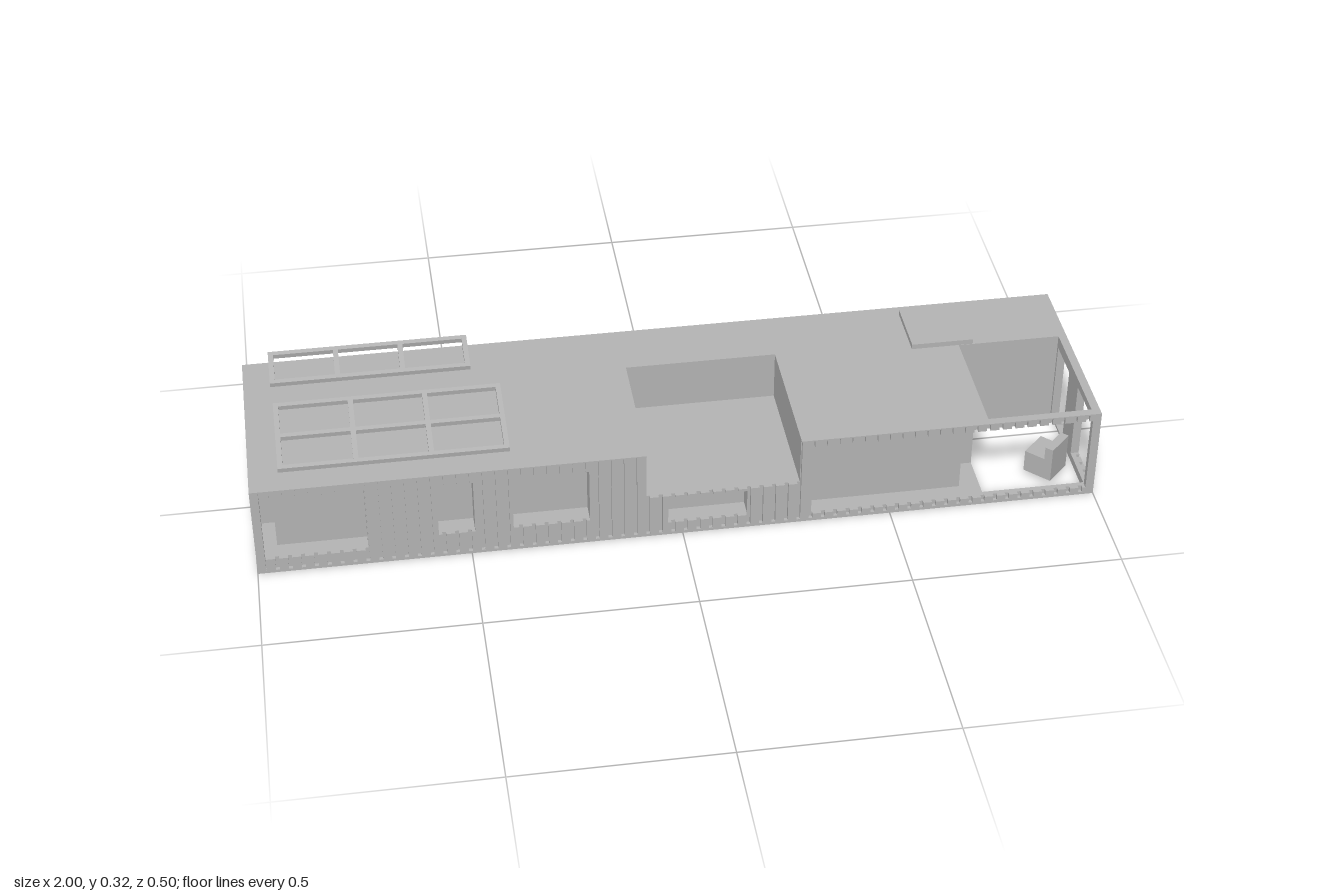
import * as THREE from 'three';
import { mergeGeometries } from 'three/addons/utils/BufferGeometryUtils.js';

const H = 0.24, SKIN = 0.02, INNER = 0.03, GROOVE = 0.009, PITCH = 0.03;

const grey = new THREE.MeshStandardMaterial({ color: 0xb4b4b4 });
grey.name = 'grey steel';

// Box from its minimum and maximum corners
function span(x0, x1, y0, y1, z0, z1) {
  const g = new THREE.BoxGeometry(x1 - x0, y1 - y0, z1 - z0);
  return g.translate((x0 + x1) / 2, (y0 + y1) / 2, (z0 + z1) / 2);
}

function add(parent, name, geometry) {
  const m = new THREE.Mesh(geometry, grey);
  m.name = name;
  parent.add(m);
  return m;
}

// Wall in its own plane: u runs along it, the outside is at depth 0 and faces +z.
// openings: [u0, u1, y0, y1]. Ribbed walls get rectangular vertical grooves.
function wall(u0, u1, thick, openings, ribbed, firstGroove = 0) {
  const cuts = [u0, u1];
  for (const o of openings) cuts.push(o[0], o[1]);
  const grooves = [];
  if (ribbed) {
    for (let u = firstGroove; u < u1 - 0.015; u += PITCH) {
      grooves.push(u);
      cuts.push(u - GROOVE / 2, u + GROOVE / 2);
    }
  }
  const us = cuts.filter(u => u >= u0 && u <= u1).sort((a, b) => a - b);
  const parts = [];
  for (let i = 0; i < us.length - 1; i++) {
    const a = us[i], b = us[i + 1], mid = (a + b) / 2;
    if (b - a < 1e-5) continue;
    const inGroove = grooves.some(g => Math.abs(g - mid) < GROOVE / 2);
    const holes = openings.filter(o => mid > o[0] && mid < o[1]).sort((p, q) => p[2] - q[2]);
    // Solid heights between the openings
    let y = 0;
    for (const [, , lo, hi] of [...holes, [0, 0, H, H]]) {
      if (lo - y > 1e-5) {
        parts.push(span(a, b, y, lo, -thick, inGroove ? -0.009 : 0));
        if (inGroove && y === 0) parts.push(span(a, b, 0, 0.007, -0.009, 0));
        if (inGroove && lo === H) parts.push(span(a, b, H - 0.003, H, -0.009, 0));
      }
      y = hi;
    }
  }
  return mergeGeometries(parts);
}

// Open rectangular frame with a grid of cells, lying flat
function panelFrame(w, d, cols, rows) {
  const rect = (P, x0, y0, x1, y1) => {
    const p = new P();
    p.moveTo(x0, y0);
    p.lineTo(x1, y0);
    p.lineTo(x1, y1);
    p.lineTo(x0, y1);
    p.closePath();
    return p;
  };
  const s = rect(THREE.Shape, -w / 2, -d / 2, w / 2, d / 2);
  const bar = 0.012, cw = (w - bar) / cols, cd = (d - bar) / rows;
  for (let i = 0; i < cols; i++) for (let j = 0; j < rows; j++) {
    const x = -w / 2 + bar + i * cw, y = -d / 2 + bar + j * cd;
    s.holes.push(rect(THREE.Path, x, y, x + cw - bar, y + cd - bar));
  }
  const g = new THREE.ExtrudeGeometry(s, { depth: 0.012, bevelEnabled: false });
  return g.translate(0, 0, -0.006).rotateX(-Math.PI / 2);
}

export function createModel() {
  const model = new THREE.Group();
  model.name = 'containerHouse';

  // Solid core, leaving the roof deck, the entrance notch and the porch free
  add(model, 'core', mergeGeometries([
    span(-0.95, -0.085, 0, H, -0.2, 0.2),
    span(-0.085, 0.28, 0, 0.115, -0.2, 0.2),
    span(-0.085, 0.28, 0.115, H, -0.2, -0.1),
    span(0.28, 0.68, 0, H, -0.2, 0.2),
    span(0.68, 0.73, 0, H, -0.2, 0.115),
    span(0.68, 0.73, 0, 0.02, 0.115, 0.2),
    span(0.68, 0.73, 0.22, H, 0.115, 0.2),
    span(0.73, 0.98, 0, H, -0.2, -0.07),
  ]));

  // Front wall
  const front = [
    [-0.575, -0.49, 0.065, 0.21],
    [-0.4, -0.22, 0.065, 0.21],
    [-0.035, 0.155, 0.035, 0.108],
    [-0.085, 0.28, 0.115, H],
  ];
  const frontSkin = [...front, [-0.98, -0.74, 0.04, 0.215], [0.31, 0.985, 0.02, 0.22]];
  const frontInner = [...front, [-1, -0.74, 0.04, 0.215], [0.31, 0.75, 0.02, 0.22]];
  add(model, 'frontWall', wall(-1, 1, SKIN, frontSkin, true, -0.9825)).position.z = 0.25;
  add(model, 'frontReveals', wall(-0.98, 0.73, INNER, frontInner, false)).position.z = 0.23;

  // Back wall: u runs towards -x
  const back = [
    [0.605, 0.685, 0.095, 0.185],
    [0.065, 0.17, 0.08, 0.185],
    [-0.115, -0.015, 0.02, 0.2],
    [-0.285, -0.155, 0.115, 0.185],
    [-0.55, -0.435, 0.065, 0.185],
    [-0.8, -0.7, 0.055, 0.185],
  ].map(([a, b, lo, hi]) => [-b, -a, lo, hi]);
  for (const [name, w, t, z] of [['backWall', 1, SKIN, -0.25], ['backReveals', 0.98, INNER, -0.23]]) {
    const m = add(model, name, wall(-w, w, t, back, t === SKIN, -0.9825));
    m.rotation.y = Math.PI;
    m.position.z = z;
  }

  // Left-hand end (+x): u runs towards -z
  const porchEnd = add(model, 'porchEndWall', wall(-0.25, 0.25, SKIN, [
    [-0.235, -0.115, 0.02, 0.22],
    [-0.04, 0.063, 0.006, 0.21],
  ], true, -0.2175));
  porchEnd.rotation.y = Math.PI / 2;
  porchEnd.position.x = 1;

  // Other end (-x): u runs towards +z
  const end = add(model, 'endWall', wall(-0.25, 0.25, SKIN, [[0.115, 0.235, 0.04, 0.215]], true, -0.2325));
  end.rotation.y = -Math.PI / 2;
  end.position.x = -1;
  const endInner = add(model, 'endReveals', wall(-0.23, 0.23, INNER, [[0.115, 0.25, 0.04, 0.215]], false));
  endInner.rotation.y = -Math.PI / 2;
  endInner.position.x = -0.98;

  // Tilted roof frames
  const large = add(model, 'largeRoofFrame', panelFrame(0.53, 0.211, 3, 2));
  large.position.set(-0.665, 0.3015, 0.131);
  large.rotation.x = 0.15;
  const small = add(model, 'smallRoofFrame', panelFrame(0.475, 0.105, 3, 1));
  small.position.set(-0.697, 0.294, -0.147);
  small.rotation.x = 0.17;

  // Flat hatch above the roof
  add(model, 'roofHatch', span(0.6, 0.75, 0.278, 0.291, -0.167, -0.02));

  // Porch armchair, its back towards the open corner
  const chair = new THREE.Group();
  chair.name = 'porchChair';
  add(chair, 'chairSeat', span(-0.037, 0.037, 0, 0.057, -0.037, 0.037));
  add(chair, 'chairBack', span(-0.037, 0.037, 0.057, 0.092, 0.016, 0.037));
  chair.position.set(0.902, 0.02, 0.161);
  chair.rotation.y = Math.PI / 4;
  model.add(chair);

  return model;
}
